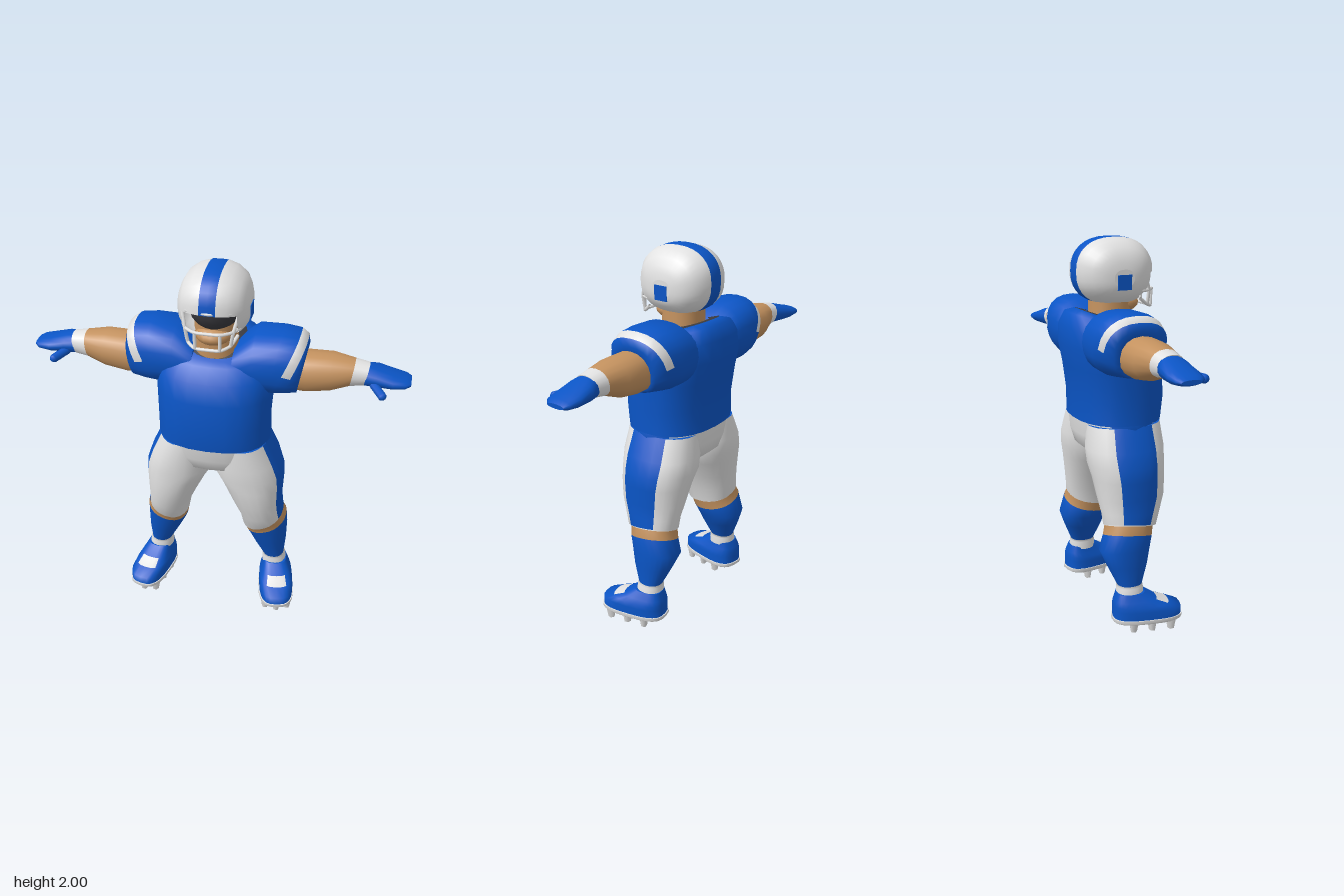
import * as THREE from 'three';

const make = (name, color, extra = {}) => new THREE.MeshStandardMaterial({ name, color, ...extra });

// Loft of super-ellipse rings along 'y' (u = x, v = z) or 'x' (u = z, v = y).
// ring: [position, centreU, centreV, radiusU, radiusV, tiltU, tiltV], listed in ascending order.
// pick(i, j) gives the material index of a quad, or -1 to leave it open.
function loft(name, axis, rings, mats, pick = () => 0, { n = 24, power = 2.2, caps = true } = {}) {
  const pos = [], faces = mats.map(() => []);
  const bend = (t) => Math.sign(t) * Math.pow(Math.abs(t), 2 / power);
  const put = (p, u, v) => (axis === 'y' ? pos.push(u, p, v) : pos.push(p, v, u));
  const putRing = ([p, cu, cv, ru, rv, tu = 0, tv = 0]) => {
    for (let j = 0; j < n; j++) {
      const a = (j / n) * Math.PI * 2;
      const du = ru * bend(Math.cos(a)), dv = rv * bend(Math.sin(a));
      put(p + tu * du + tv * dv, cu + du, cv + dv);
    }
  };
  rings.forEach(putRing);
  for (let i = 0; i < rings.length - 1; i++) {
    for (let j = 0; j < n; j++) {
      const m = pick(i, j);
      if (m < 0) continue;
      const k = (j + 1) % n, a = i * n + j, b = a + n, c = (i + 1) * n + k, d = i * n + k;
      faces[m].push(a, b, c, a, c, d);
    }
  }
  if (caps) {
    [0, rings.length - 1].forEach((i, top) => {
      const start = pos.length / 3, r = rings[i];
      putRing(r);
      put(r[0], r[1], r[2]);
      const m = Math.max(0, pick(Math.min(i, rings.length - 2), 0));
      for (let j = 0; j < n; j++) {
        const a = start + j, b = start + ((j + 1) % n);
        faces[m].push(start + n, top ? b : a, top ? a : b);
      }
    });
  }
  const g = new THREE.BufferGeometry();
  g.setAttribute('position', new THREE.Float32BufferAttribute(pos, 3));
  g.setIndex(faces.flat());
  let at = 0;
  faces.forEach((f, m) => { g.addGroup(at, f.length, m); at += f.length; });
  g.computeVertexNormals();
  const mesh = new THREE.Mesh(g, mats);
  mesh.name = name;
  return mesh;
}

function solid(name, geometry, material, x, y, z) {
  const mesh = new THREE.Mesh(geometry, material);
  mesh.name = name;
  mesh.position.set(x, y, z);
  return mesh;
}

export function createModel() {
  const blue = make('blue cloth', 0x0b55c6);
  const white = make('white', 0xe2e2e2, { side: THREE.DoubleSide });
  const skin = make('skin', 0xc4925f);
  const dark = make('dark lining', 0x3a3a3f, { side: THREE.DoubleSide });
  const model = new THREE.Group();
  model.name = 'footballPlayer';

  // Jersey, with the collar turning inward into a dark lining
  model.add(loft('jersey', 'y', [
    [1.08, 0, 0.015, 0.292, 0.225], [1.2, 0, 0.022, 0.29, 0.233], [1.35, 0, 0.005, 0.298, 0.235],
    [1.46, 0, -0.018, 0.3, 0.235], [1.54, 0, -0.05, 0.27, 0.2, 0, -0.1],
    [1.585, 0, -0.05, 0.21, 0.175, 0, -0.25], [1.595, 0, -0.04, 0.145, 0.14, 0, -0.36],
    [1.6, 0, -0.03, 0.1, 0.1, 0, -0.3],
  ], [blue, dark], (i) => (i === 6 ? 1 : 0), { power: 2.4, caps: false }));

  // Hips
  const sideStripe = (j) => j < 2 || j > 21;
  model.add(loft('hips', 'y', [
    [0.865, 0, 0, 0.1, 0.1], [0.93, 0, 0.005, 0.25, 0.185], [1.0, 0, 0.01, 0.305, 0.207],
    [1.09, 0, 0.012, 0.286, 0.218],
  ], [white, blue], (i, j) => (sideStripe(j) || (j > 9 && j < 14) ? 1 : 0)));

  // Neck and chin
  model.add(loft('neck', 'y', [
    [1.5, 0, -0.01, 0.115, 0.11], [1.6, 0, -0.005, 0.11, 0.105], [1.74, 0, 0, 0.105, 0.11],
  ], [skin]));
  const chin = solid('chin', new THREE.SphereGeometry(1, 16, 10), skin, 0, 1.665, 0.06);
  chin.scale.set(0.09, 0.05, 0.09);
  model.add(chin);

  // Helmet shell, open at the face and the neck
  const head = new THREE.Group();
  head.name = 'helmet';
  const shell = [[0, 1], [0.04, 0.99], [0.09, 0.92], [0.135, 0.77], [0.158, 0.58], [0.17, 0.42], [0.175, 0.26]];
  const rings = [...shell.slice(1).reverse().map(([x, s]) => [-x, s]), ...shell]
    .map(([x, s]) => [x, 0.004, 1.83 - 0.035 * (1 - s), 0.207 * s, 0.17 * s]);
  head.add(loft('helmetShell', 'x', rings, [white, blue], (i, j) => {
    const inner = i >= 3 && i <= 8;
    if (inner && j >= 27) return -1;
    if (i >= 4 && i <= 7 && j >= 22) return -1;
    return i === 5 || i === 6 ? 1 : 0;
  }, { n: 32, power: 2.35 }));
  const lining = solid('helmetLining', new THREE.SphereGeometry(1, 20, 14), dark, 0, 1.815, 0);
  lining.scale.set(0.138, 0.14, 0.165);
  head.add(lining);

  // Face guard bars
  const bar = (name, pts, r = 0.009) => {
    const path = new THREE.CatmullRomCurve3(pts.map((p) => new THREE.Vector3(...p)), false, 'catmullrom', 0.2);
    head.add(solid(name, new THREE.TubeGeometry(path, 16, r, 6), white, 0, 0, 0));
  };
  bar('browBar', [[-0.14, 1.815, 0.125], [-0.1, 1.835, 0.18], [0, 1.838, 0.206], [0.1, 1.835, 0.18], [0.14, 1.815, 0.125]]);
  bar('middleBar', [[-0.14, 1.735, 0.11], [-0.115, 1.735, 0.165], [-0.06, 1.735, 0.205], [0.06, 1.735, 0.205], [0.115, 1.735, 0.165], [0.14, 1.735, 0.11]]);
  bar('lowerBar', [[-0.13, 1.695, 0.11], [-0.105, 1.66, 0.16], [-0.06, 1.648, 0.2], [0.06, 1.648, 0.2], [0.105, 1.66, 0.16], [0.13, 1.695, 0.11]]);
  for (const s of [-1, 1]) {
    bar('frontUpright', [[s * 0.062, 1.738, 0.203], [s * 0.06, 1.648, 0.2]]);
    bar('sideUpright', [[s * 0.14, 1.825, 0.13], [s * 0.118, 1.735, 0.163], [s * 0.105, 1.66, 0.16]]);
    head.add(solid('earPatch', new THREE.BoxGeometry(0.009, 0.075, 0.075), blue, s * 0.174, 1.785, 0.004));
  }
  model.add(head);

  // One side of the body, built on +x and mirrored
  const buildSide = () => {
    const side = new THREE.Group();

    // Shoulder and sleeve, with a white stripe over the top half
    side.add(loft('sleeve', 'x', [
      [0.1, -0.04, 1.5, 0.17, 0.09], [0.2, -0.045, 1.505, 0.185, 0.158], [0.3, -0.045, 1.505, 0.18, 0.163, 0, 0.2],
      [0.348, -0.043, 1.5, 0.173, 0.16, 0, 0.42], [0.392, -0.04, 1.49, 0.165, 0.143, 0, 0.42],
      [0.435, -0.035, 1.475, 0.135, 0.118, 0, 0.18], [0.43, -0.035, 1.47, 0.1, 0.095, 0, 0.18],
    ], [blue, white], (i, j) => (i === 3 && j < 12 ? 1 : 0), { power: 2.4 }));

    // Arm with wristband
    side.add(loft('arm', 'x', [
      [0.36, -0.03, 1.465, 0.105, 0.1], [0.46, -0.03, 1.465, 0.108, 0.104], [0.58, -0.034, 1.475, 0.106, 0.094],
      [0.68, -0.03, 1.484, 0.076, 0.068, 0, 0.15], [0.75, -0.03, 1.483, 0.066, 0.056, 0, 0.2],
    ], [skin, white], (i) => (i === 3 ? 1 : 0), { n: 16 }));

    // Glove and thumb
    side.add(loft('glove', 'x', [
      [0.735, -0.03, 1.483, 0.065, 0.055, 0, 0.2], [0.8, -0.038, 1.478, 0.08, 0.049], [0.88, -0.038, 1.466, 0.083, 0.036],
      [0.94, -0.04, 1.462, 0.073, 0.024], [0.967, -0.045, 1.46, 0.05, 0.011],
    ], [blue], undefined, { n: 16 }));
    const thumb = solid('thumb', new THREE.CapsuleGeometry(0.022, 0.085, 4, 8), blue, 0.812, 1.445, 0.055);
    thumb.quaternion.setFromUnitVectors(new THREE.Vector3(0, 1, 0), new THREE.Vector3(0.55, -0.2, 0.8).normalize());
    side.add(thumb);

    // Leg: ankle cuff, sock, knee and trouser leg
    side.add(loft('leg', 'y', [
      [0.19, 0.335, -0.035, 0.068, 0.072], [0.235, 0.332, -0.035, 0.064, 0.07], [0.245, 0.33, -0.035, 0.058, 0.066],
      [0.35, 0.306, -0.04, 0.09, 0.108], [0.43, 0.289, -0.045, 0.108, 0.135, 0.1, 0],
      [0.495, 0.281, -0.025, 0.112, 0.128, 0.3, -0.15], [0.54, 0.268, -0.012, 0.105, 0.128, 0.3, -0.15],
      [0.545, 0.267, -0.006, 0.11, 0.14, 0.3, -0.15], [0.61, 0.256, 0.003, 0.114, 0.155, 0.15, -0.08],
      [0.7, 0.231, 0.013, 0.137, 0.178], [0.8, 0.209, 0.01, 0.164, 0.19], [0.87, 0.187, 0.005, 0.183, 0.2],
      [0.95, 0.174, 0.005, 0.168, 0.207], [1.07, 0.145, 0.01, 0.142, 0.195],
    ], [white, blue, skin], (i, j) => {
      if (i < 2) return 0;
      if (i < 5) return 1;
      if (i === 5) return 2;
      return i > 6 && sideStripe(j) ? 1 : 0;
    }));

    // Shoe with instep patch, sole and studs
    const foot = new THREE.Group();
    foot.name = 'foot';
    foot.position.set(0.345, 0, -0.035);
    foot.rotation.y = 0.2;
    foot.add(loft('shoe', 'y', [
      [0.07, 0, 0.087, 0.095, 0.182], [0.115, 0, 0.087, 0.095, 0.18], [0.14, 0, 0.055, 0.09, 0.148],
      [0.165, 0, 0.025, 0.078, 0.113], [0.205, -0.005, 0, 0.064, 0.074],
    ], [blue, white], (i, j) => (i === 2 && j > 3 && j < 8 ? 1 : 0), { power: 2.9 }));
    foot.add(loft('sole', 'y', [
      [0.048, 0, 0.087, 0.094, 0.18], [0.055, 0, 0.087, 0.1, 0.187], [0.072, 0, 0.087, 0.1, 0.187],
    ], [white], undefined, { power: 2.9 }));
    for (const z of [0.205, 0.105, 0.005]) {
      for (const x of [-0.062, 0, 0.062]) {
        const stud = solid('stud', new THREE.CylinderGeometry(0.027, 0.018, 0.052, 5), white, x, 0.026, z + (x ? 0 : 0.02));
        stud.rotation.y = x * 20 + z * 9;
        foot.add(stud);
      }
    }
    side.add(foot);
    return side;
  };
  const left = buildSide(), right = buildSide();
  left.name = 'leftSide';
  right.name = 'rightSide';
  right.scale.x = -1;
  model.add(left, right);
  return model;
}
